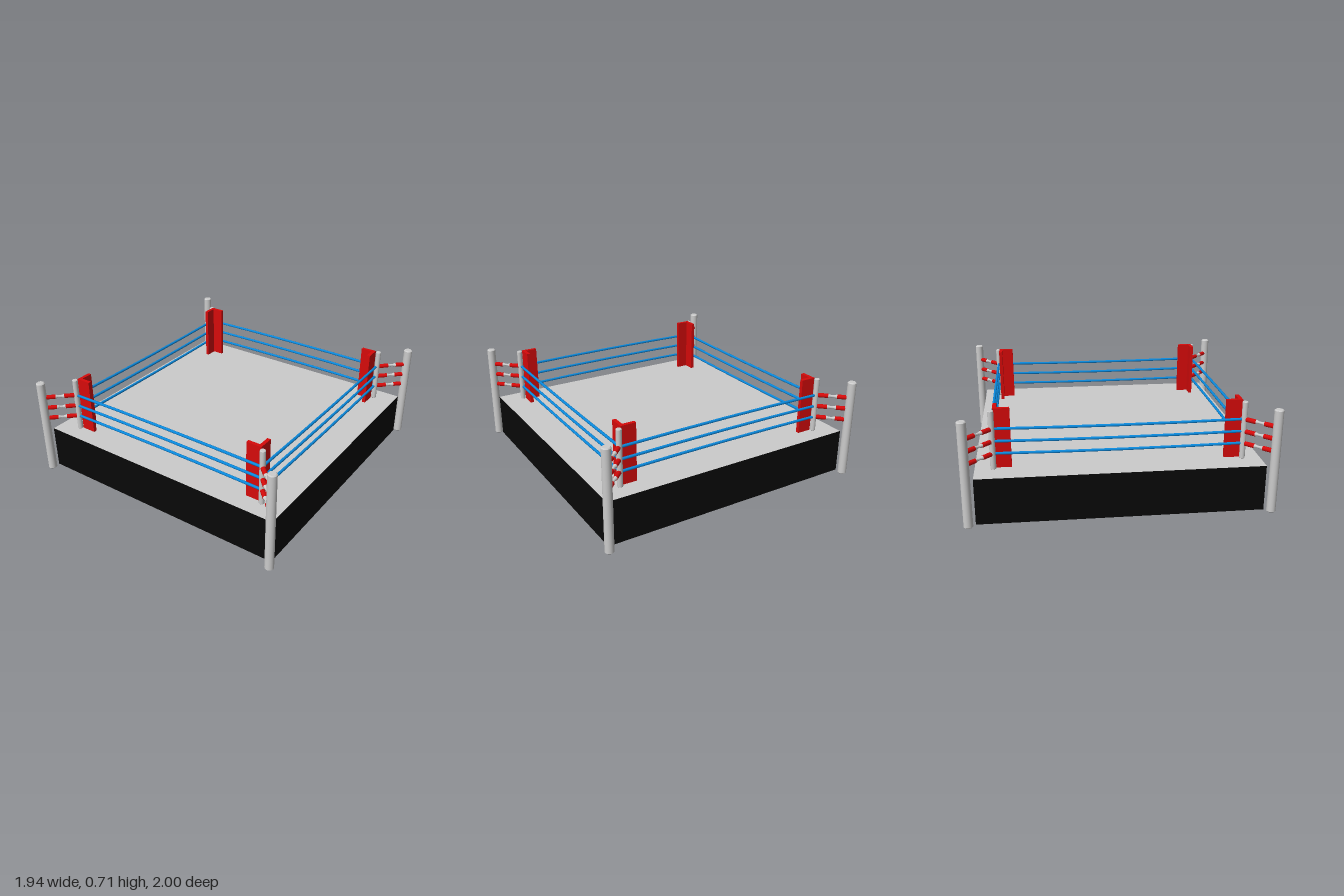
import * as THREE from 'three';

const paint = (color) => new THREE.MeshStandardMaterial({ color });
const grey = paint(0xcccccc);
const red = paint(0xd60a0a);
const blue = paint(0x0a8ade);
const black = paint(0x080808);

const DECK = 0.315;
const ROPE_HEIGHTS = [0.418, 0.5, 0.583];
const ROPE_X = 0.77, ROPE_Z = 0.808;

function add(parent, name, geometry, material, x = 0, y = 0, z = 0) {
  const mesh = new THREE.Mesh(geometry, material);
  mesh.name = name;
  mesh.position.set(x, y, z);
  parent.add(mesh);
  return mesh;
}

// Upright post with a small chamfer at both ends
function postGeometry(radius, height, sides) {
  const c = radius * 0.2;
  const cap = [[0, 0], [radius - c, 0], [radius - c, 0], [radius, c], [radius, c]];
  const top = cap.map(([r, y]) => [r, height - y]).reverse();
  return new THREE.LatheGeometry([...cap, ...top].map(([r, y]) => new THREE.Vector2(r, y)), sides);
}

// Slightly bowed rope made of a few straight lengths
function ropeGeometry(a, b, bow) {
  const path = new THREE.CurvePath();
  const pts = [0, 0.25, 0.5, 0.75, 1].map((t) =>
    a.clone().lerp(b, t).addScaledVector(bow, 4 * t * (1 - t)));
  for (let i = 0; i < 4; i++) path.add(new THREE.LineCurve3(pts[i], pts[i + 1]));
  return new THREE.TubeGeometry(path, 12, 0.0095, 8);
}

// Tensioner along local y: two red sleeves joined by a grey screw
function turnbuckle(length) {
  const group = new THREE.Group();
  group.name = 'turnbuckle';
  const sleeve = new THREE.CylinderGeometry(0.0155, 0.0155, length * 0.32, 12);
  const collar = new THREE.CylinderGeometry(0.009, 0.0145, length * 0.09, 12);
  add(group, 'screw', new THREE.CylinderGeometry(0.0085, 0.0085, length, 10), grey);
  for (const s of [-1, 1]) {
    add(group, 'sleeve', sleeve, red, 0, s * length * 0.3, 0);
    add(group, 'collar', collar, grey, 0, s * length * 0.095, 0).rotation.x = s < 0 ? 0 : Math.PI;
  }
  return group;
}

function corner(sx, sz) {
  const group = new THREE.Group();
  group.name = 'corner';
  add(group, 'outerPost', postGeometry(0.03, 0.7, 24), grey, sx * 0.94, 0, sz * 0.97);
  add(group, 'innerPost', postGeometry(0.019, 0.703 - DECK, 12), grey, sx * 0.773, DECK, sz * 0.806);

  // Two boards forming the L-shaped corner pad
  const h = 0.71 - DECK, y = DECK + h / 2;
  add(group, 'cornerPad', new THREE.BoxGeometry(0.105, h, 0.024), red, sx * 0.7025, y, sz * 0.784);
  add(group, 'cornerPad', new THREE.BoxGeometry(0.024, h, 0.084), red, sx * 0.743, y, sz * 0.732);

  // Turnbuckles between the two posts
  for (const ropeY of ROPE_HEIGHTS) {
    const a = new THREE.Vector3(sx * 0.778, ropeY, sz * 0.811);
    const b = new THREE.Vector3(sx * 0.932, ropeY, sz * 0.962);
    const part = turnbuckle(a.distanceTo(b));
    part.position.copy(a).add(b).multiplyScalar(0.5);
    part.quaternion.setFromUnitVectors(new THREE.Vector3(0, 1, 0), b.clone().sub(a).normalize());
    group.add(part);
  }
  return group;
}

export function createModel() {
  const model = new THREE.Group();
  model.name = 'boxingRing';

  // Platform: dark skirt with grey canvas and underside
  add(model, 'platform', new THREE.BoxGeometry(1.85, DECK - 0.007, 1.85),
    [black, black, grey, grey, black, black], 0, (DECK + 0.007) / 2, 0);

  for (const sx of [-1, 1]) for (const sz of [-1, 1]) model.add(corner(sx, sz));

  // Three ropes on each side
  for (const y of ROPE_HEIGHTS) {
    for (const s of [-1, 1]) {
      add(model, 'rope', ropeGeometry(
        new THREE.Vector3(-ROPE_X, y, s * ROPE_Z), new THREE.Vector3(ROPE_X, y, s * ROPE_Z),
        new THREE.Vector3(0, 0.007, 0)), blue);
      add(model, 'rope', ropeGeometry(
        new THREE.Vector3(s * ROPE_X, y, -ROPE_Z), new THREE.Vector3(s * ROPE_X, y, ROPE_Z),
        new THREE.Vector3(0, -0.007, 0)), blue);
    }
  }
  return model;
}
